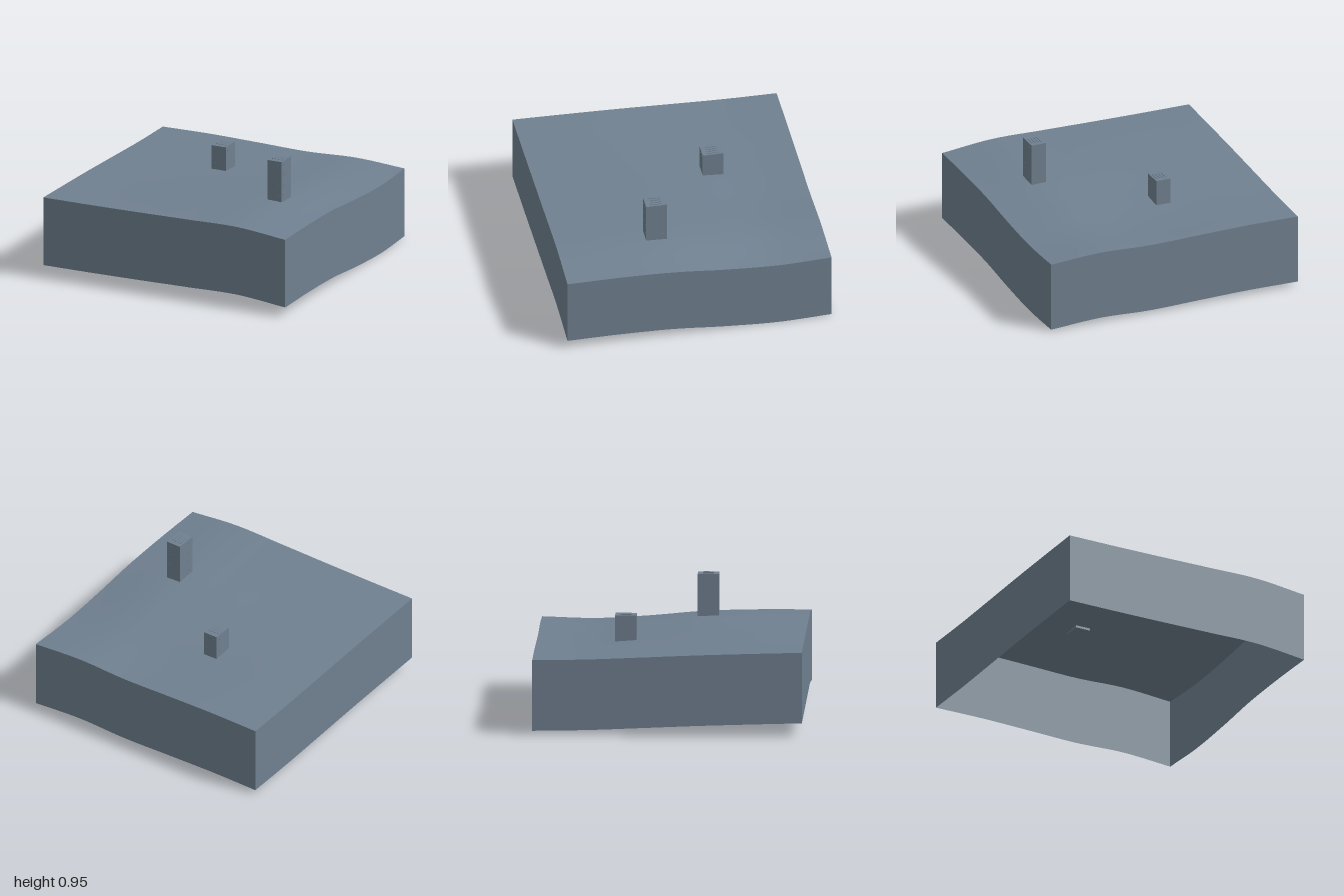
import * as THREE from 'three';

const SEGMENTS = 40;
const SKIRT = 0.531;

// Terrain heights: rows run from back (z = -1) to front, columns from x = -1 to 1
const HEIGHTS = [
  [0.563, 0.567, 0.560, 0.552, 0.566, 0.543],
  [0.571, 0.570, 0.562, 0.557, 0.564, 0.533],
  [0.588, 0.588, 0.588, 0.592, 0.600, 0.556],
  [0.606, 0.608, 0.615, 0.628, 0.634, 0.592],
  [0.620, 0.624, 0.632, 0.640, 0.645, 0.606],
  [0.632, 0.633, 0.637, 0.643, 0.647, 0.608],
];

// Smooth interpolation through evenly spaced values, t from -1 to 1
function spline(v, t) {
  const n = v.length - 1;
  const f = THREE.MathUtils.clamp((t + 1) / 2, 0, 1) * n;
  const i = Math.min(Math.floor(f), n - 1);
  const u = f - i;
  const b = v[i], c = v[i + 1];
  const a = i > 0 ? v[i - 1] : 2 * b - c;
  const d = i < n - 1 ? v[i + 2] : 2 * c - b;
  return b + 0.5 * u * (c - a + u * (2 * a - 5 * b + 4 * c - d + u * (3 * (b - c) + d - a)));
}

const heightAt = (x, z) => spline(HEIGHTS.map((row) => spline(row, x)), z);

// Raise every vertex by the terrain height at its position
function drape(geometry) {
  const p = geometry.attributes.position;
  for (let i = 0; i < p.count; i++) p.setY(i, p.getY(i) + heightAt(p.getX(i), p.getZ(i)));
  return geometry;
}

export function createModel() {
  const model = new THREE.Group();
  const slate = new THREE.MeshStandardMaterial({ color: 0x708090, side: THREE.DoubleSide });
  slate.name = 'slate';

  const add = (parent, name, geometry, x = 0, y = 0, z = 0) => {
    const mesh = new THREE.Mesh(geometry, slate);
    mesh.name = name;
    mesh.position.set(x, y, z);
    parent.add(mesh);
    return mesh;
  };

  // Rolling ground surface
  const ground = drape(new THREE.PlaneGeometry(2, 2, SEGMENTS, SEGMENTS).rotateX(-Math.PI / 2));
  ground.computeVertexNormals();
  add(model, 'terrain', ground);

  // Four skirt walls, open underneath
  ['frontSkirt', 'leftSkirt', 'backSkirt', 'rightSkirt'].forEach((name, k) => {
    const wall = new THREE.PlaneGeometry(2, SKIRT, SEGMENTS, 1);
    wall.translate(0, -SKIRT / 2, 1).rotateY(k * Math.PI / 2);
    add(model, name, drape(wall));
  });

  // Towers with roof slats and small panels on each side
  const W = 0.116, D = 0.158;
  const tower = (name, x, z, top, rows) => {
    const group = new THREE.Group();
    group.name = name;
    group.position.set(x, 0, z);
    model.add(group);

    const ground = heightAt(x, z);
    const base = ground - 0.012;
    add(group, 'body', new THREE.BoxGeometry(W, top - base, D), 0, (top + base) / 2, 0);

    for (let i = 0; i < 4; i++) {
      add(group, 'roofSlat', new THREE.BoxGeometry(0.01, 0.004, 0.08), -0.036 + i * 0.024, top + 0.002, 0);
    }
    for (let r = 0; r < rows; r++) {
      const y = ground + (top - ground) * (r + 0.6) / rows;
      for (const side of [-1, 1]) {
        for (const s of [-1, 1]) {
          add(group, 'endPanel', new THREE.BoxGeometry(0.012, 0.008, 0.002), s * 0.03, y, side * D / 2);
          add(group, 'sidePanel', new THREE.BoxGeometry(0.002, 0.008, 0.012), side * W / 2, y, s * 0.04);
        }
      }
    }
  };
  tower('tallTower', 0.582, 0.25, 0.952, 4);
  tower('shortTower', -0.17, -0.335, 0.769, 2);

  return model;
}
